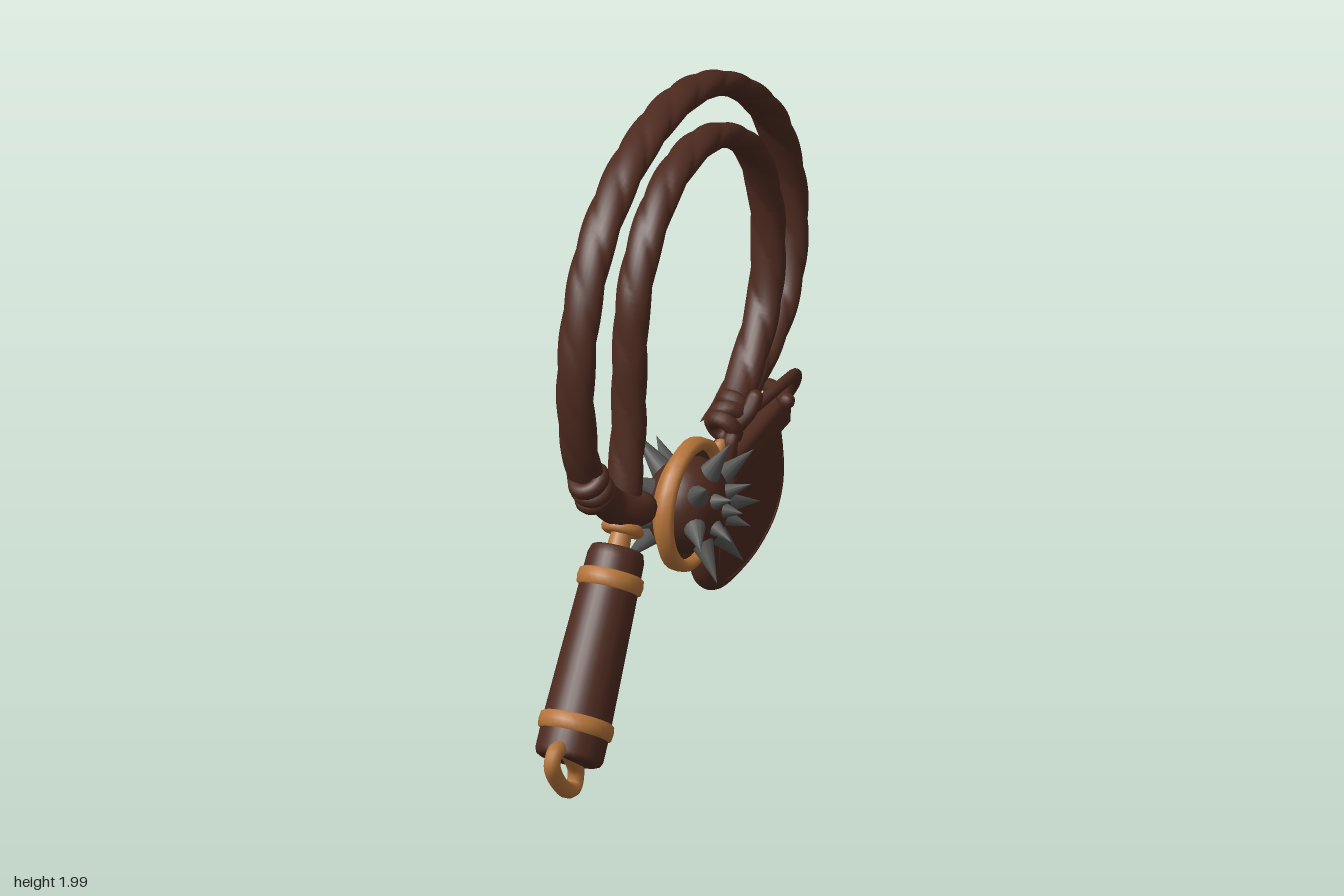
import * as THREE from 'three';

const mat = (name, color) => new THREE.MeshStandardMaterial({ name, color });
const V = (x, y, z) => new THREE.Vector3(x, y, z);
const V2 = p => new THREE.Vector2(...p);

export function createModel() {
  const model = new THREE.Group();
  const leather = mat('brown leather', 0x4d2a1f);
  const brass = mat('brass', 0xb5743a);
  const steel = mat('dark steel', 0x565655);

  const add = (name, geo, material, parent = model) => {
    const mesh = new THREE.Mesh(geo, material);
    mesh.name = name;
    parent.add(mesh);
    return mesh;
  };
  const indexed = (pos, index) => {
    const geo = new THREE.BufferGeometry();
    geo.setAttribute('position', new THREE.Float32BufferAttribute(pos, 3));
    geo.setIndex(index);
    geo.computeVertexNormals();
    return geo;
  };
  // Round cord through [x, y, z] points
  const cord = (name, pts, r, material, closed = false) => {
    const curve = new THREE.CatmullRomCurve3(pts.map(p => V(...p)), closed);
    add(name, new THREE.TubeGeometry(curve, 48, r, 10, closed), material);
    if (!closed) for (const p of [pts[0], pts[pts.length - 1]]) {
      add(name + 'End', new THREE.SphereGeometry(r, 10, 8), material).position.set(...p);
    }
  };

  // Braided rope: oval section swept along a curve, with twisting strands
  const rope = (name, pts, xs, rx, ry) => {
    const last = pts.length - 1;
    const curve = new THREE.CatmullRomCurve3(
      pts.map(([z, y], i) => V(THREE.MathUtils.lerp(xs[0], xs[1], i / last), y, z)));
    const length = curve.getLength(), rows = 300, sides = 24;
    const pos = [], index = [];
    for (let i = 0; i <= rows; i++) {
      const c = curve.getPointAt(i / rows), t = curve.getTangentAt(i / rows);
      const n = t.clone().cross(V(1, 0, 0)).normalize();
      const s = length * i / rows;
      for (let j = 0; j < sides; j++) {
        const a = j / sides * Math.PI * 2;
        const k = 0.89 + 0.16 * Math.sqrt(Math.abs(Math.sin(a * 1.5 + s * 17)));
        const p = c.clone().addScaledVector(n, Math.sin(a) * ry * k);
        pos.push(p.x + Math.cos(a) * rx * k, p.y, p.z);
        if (i < rows) {
          const q = i * sides + j, r = i * sides + (j + 1) % sides;
          index.push(q, r, q + sides, r, r + sides, q + sides);
        }
      }
    }
    add(name, indexed(pos, index), leather);
  };
  rope('outerRope', [[0.49, 0.92], [0.55, 1.05], [0.595, 1.265], [0.573, 1.476], [0.48, 1.685], [0.295, 1.85],
    [0.08, 1.937], [-0.13, 1.962], [-0.345, 1.928], [-0.57, 1.82], [-0.755, 1.655], [-0.858, 1.44],
    [-0.873, 1.265], [-0.825, 1.105], [-0.735, 1.0], [-0.6, 0.92], [-0.416, 0.84], [-0.29, 0.81]],
    [-0.1, -0.03], 0.06, 0.038);
  rope('innerRope', [[0.342, 0.8], [0.305, 1.05], [0.3, 1.29], [0.273, 1.476], [0.183, 1.635], [0.034, 1.752],
    [-0.167, 1.795], [-0.363, 1.757], [-0.55, 1.635], [-0.65, 1.45], [-0.67, 1.29], [-0.634, 1.106],
    [-0.523, 0.963], [-0.4, 0.87], [-0.3, 0.83]], [-0.05, -0.02], 0.055, 0.038);

  // Wrapped knots: a few rings stacked along a direction in the y-z plane
  const knot = (name, x, y, z, angle, count, r) => {
    const g = new THREE.Group();
    g.name = name;
    g.position.set(x, y, z);
    g.rotation.x = angle;
    for (let i = 0; i < count; i++) {
      const ring = add('knotWrap', new THREE.TorusGeometry(r, 0.026, 10, 24), leather, g);
      ring.position.z = (i - (count - 1) / 2) * 0.042;
      ring.rotation.y = i % 2 ? 0.25 : -0.2;
    }
    add('knotCore', new THREE.SphereGeometry(r, 14, 10), leather, g);
    model.add(g);
  };
  knot('handleKnot', -0.085, 0.915, 0.49, -0.95, 3, 0.042);
  knot('pouchKnot', 0, 0.85, -0.32, 0.5, 3, 0.04);
  cord('handleTie', [[-0.07, 0.88, 0.46], [-0.05, 0.83, 0.41], [-0.02, 0.8, 0.36], [-0.005, 0.795, 0.315]], 0.054, leather);
  cord('tiePin', [[-0.03, 0.79, 0.3], [-0.03, 0.745, 0.285]], 0.024, brass);

  // Handle, built upright and tilted
  const handle = new THREE.Group();
  handle.name = 'handle';
  handle.position.set(-0.037, 0.13, 0.77);
  handle.rotation.x = -0.577;
  model.add(handle);
  const lathe = pts => new THREE.LatheGeometry(pts.map(V2), 32);
  add('grip', lathe([[0, 0], [0.088, 0], [0.1, 0.006], [0.106, 0.02], [0.106, 0.1], [0.1, 0.3],
    [0.088, 0.64], [0.08, 0.665], [0.07, 0.67], [0, 0.67]]), leather, handle);
  for (const [y, r] of [[0.11, 0.114], [0.565, 0.1]]) {
    add('handleBand', lathe([[r - 0.014, y - 0.03], [r, y - 0.022], [r + 0.003, y], [r, y + 0.022],
      [r - 0.014, y + 0.03]]), brass, handle);
  }
  add('neck', new THREE.CylinderGeometry(0.03, 0.036, 0.08, 16), brass, handle).position.y = 0.7;
  const neckRing = add('neckRing', new THREE.TorusGeometry(0.048, 0.019, 10, 24), brass, handle);
  neckRing.position.y = 0.73;
  neckRing.rotation.x = Math.PI / 2;
  cord('endLoop', [[-0.033, 0.185, 0.81], [-0.033, 0.2, 0.87], [-0.033, 0.165, 0.893], [-0.033, 0.1, 0.855],
    [-0.033, 0.04, 0.78], [-0.033, 0.035, 0.735], [-0.033, 0.085, 0.72]], 0.026, brass, true);

  // Spiked ball in a brass setting; its axis is turned from y to x
  const ball = new THREE.Group();
  ball.name = 'spikedBall';
  ball.position.set(0, 0.68, -0.02);
  ball.rotation.z = -Math.PI / 2;
  model.add(ball);
  add('ball', new THREE.SphereGeometry(0.15, 32, 24), leather, ball).scale.y = 0.84;
  add('ballSeat', new THREE.CylinderGeometry(0.175, 0.175, 0.02, 40), leather, ball);
  add('setting', lathe([[0.115, -0.065], [0.15, -0.048], [0.19, -0.022], [0.205, -0.012], [0.208, 0.005],
    [0.205, 0.03], [0.19, 0.037], [0.172, 0.033], [0.17, 0]]), brass, ball);
  const spike = (polar, turn, tip, r) => {
    const dir = V(Math.sin(polar) * Math.sin(turn), Math.cos(polar), Math.sin(polar) * Math.cos(turn));
    const m = add('spike', new THREE.ConeGeometry(r, tip - 0.1, 12), steel, ball);
    m.position.copy(dir).multiplyScalar((tip + 0.1) / 2);
    m.quaternion.setFromUnitVectors(V(0, 1, 0), dir);
  };
  const spikeRing = (count, polar, tip, r, start) => {
    for (let i = 0; i < count; i++) spike(polar, start + i * Math.PI * 2 / count, tip, r);
  };
  const up = -Math.PI / 2;
  spike(0, 0, 0.185, 0.034);
  spikeRing(7, 1.0, 0.265, 0.044, up);
  spikeRing(4, 0.5, 0.205, 0.034, up + Math.PI / 4);
  spike(Math.PI, 0, 0.175, 0.034);
  spikeRing(7, Math.PI - 0.86, 0.275, 0.044, up);
  cord('ballLink', [[0, 0.7, -0.22], [0.01, 0.77, -0.225], [0.01, 0.79, -0.24], [0.01, 0.72, -0.27]], 0.022, brass, true);
  cord('ballStrap', [[0.03, 0.85, -0.32], [0.04, 0.8, -0.25], [0.03, 0.7, -0.26], [0, 0.7, -0.3]], 0.022, leather);

  // Pouch: rings of one outline, scaled and offset by a belly profile [scale, x]
  const lean = y => -0.05 - 0.12 * (0.7 - y);
  const outline = [[0.288, 0.7], [0.294, 0.56], [0.312, 0.42], [0.347, 0.286], [0.4, 0.23], [0.52, 0.22],
    [0.68, 0.255], [0.79, 0.333], [0.822, 0.43], [0.8, 0.55], [0.73, 0.7], [0.7, 0.74], [0.5, 0.74], [0.32, 0.72]];
  const rim = new THREE.CatmullRomCurve3(outline.map(([u, y]) => V(u, y, 0)), true).getSpacedPoints(64).slice(0, 64);
  const belly = new THREE.SplineCurve([[0, 0.045], [0.45, 0.045], [0.8, 0.045], [0.95, 0.035], [1, 0.005],
    [0.97, -0.03], [0.85, -0.06], [0.5, -0.085], [0, -0.092]].map(V2)).getPoints(24);
  const pos = [], index = [], n = rim.length;
  belly.forEach((b, k) => rim.forEach((p, j) => {
    const y = 0.47 + (p.y - 0.47) * b.x, u = 0.56 + (p.x - 0.56) * b.x;
    pos.push(b.y + lean(y), y, -u);
    if (k < belly.length - 1) {
      const a = k * n + j, c = k * n + (j + 1) % n;
      index.push(a, a + n, c, a + n, c + n, c);
    }
  }));
  add('pouch', indexed(pos, index), leather);
  // Raised seam along the pouch edge
  cord('pouchSeam', outline.slice(1, 10).map(p => {
    const u = 0.56 + (p[0] - 0.56) * 0.86, y = 0.47 + (p[1] - 0.47) * 0.86;
    return [lean(y) + 0.042, y, -u];
  }), 0.006, leather);
  // Folded flap, its toggle and straps
  const flap = new THREE.Shape([[0.288, 0.63], [0.72, 0.68], [0.72, 0.79], [0.3, 0.725]].map(V2));
  add('pouchFlap', new THREE.ExtrudeGeometry(flap, { depth: 0.04, bevelSize: 0.028, bevelOffset: -0.028,
    bevelThickness: 0.028, bevelSegments: 5 }).rotateY(Math.PI / 2), leather).position.x = -0.035;
  cord('toggle', [[0.045, 0.785, -0.645], [-0.01, 0.785, -0.7], [-0.055, 0.78, -0.735]], 0.025, leather);
  cord('pouchStrap', [[0.03, 0.84, -0.32], [0.07, 0.88, -0.4], [0.1, 0.91, -0.52], [0.09, 0.895, -0.61],
    [0.055, 0.83, -0.67], [0.025, 0.78, -0.67]], 0.018, leather);
  cord('knotTail', [[0.02, 0.82, -0.3], [0.06, 0.87, -0.33], [0.07, 0.91, -0.36]], 0.025, leather);
  return model;
}
